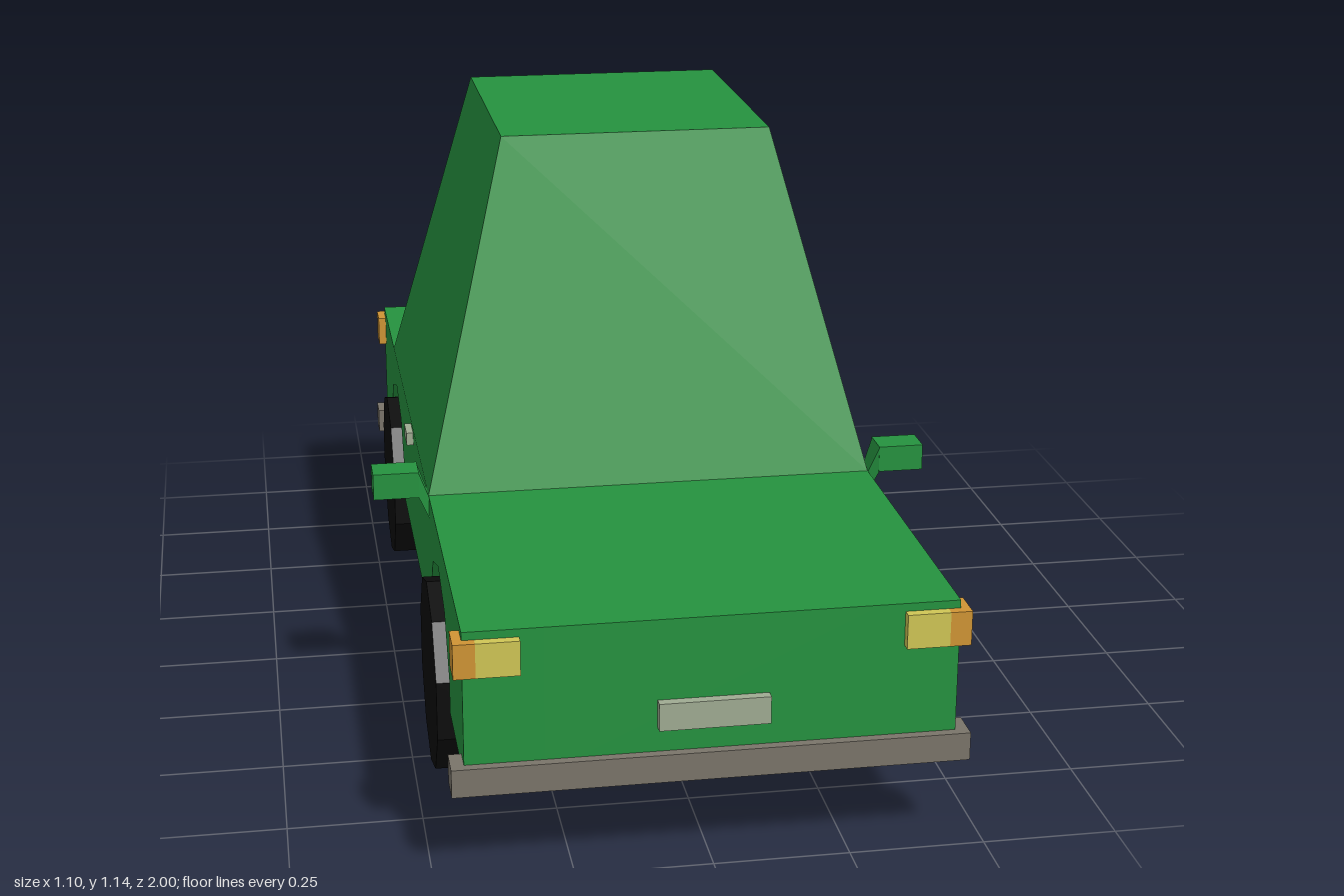
import * as THREE from 'three';
import { ConvexGeometry } from 'three/addons/geometries/ConvexGeometry.js';

export function createModel() {
  const car = new THREE.Group();
  car.name = 'car';

  const mat = (name, color) => {
    const m = new THREE.MeshStandardMaterial({ color });
    m.name = name;
    return m;
  };
  const green = mat('green paint', 0x25923f);
  const black = mat('black rubber', 0x0c0c0c);
  const grey = mat('bumper grey', 0x7a746a);
  const silver = mat('pale silver', 0x9fab92);
  const yellow = mat('headlight yellow', 0xcfc655);
  const orange = mat('indicator orange', 0xcf9434);
  const red = mat('tail light red', 0xc03022);

  const add = (name, geometry, material) => {
    const mesh = new THREE.Mesh(geometry, material);
    mesh.name = name;
    car.add(mesh);
    return mesh;
  };
  // Box given by its limits on each axis
  const box = (name, material, [x0, x1], [y0, y1], [z0, z1]) => {
    const mesh = add(name, new THREE.BoxGeometry(Math.abs(x1 - x0), y1 - y0, Math.abs(z1 - z0)), material);
    mesh.position.set((x0 + x1) / 2, (y0 + y1) / 2, (z0 + z1) / 2);
    return mesh;
  };
  const hull = (name, material, points) =>
    add(name, new ConvexGeometry(points.map((p) => new THREE.Vector3(...p))), material);

  const bottom = 0.185, deck = 0.465, halfW = 0.442, halfL = 0.982;
  const archDepth = 0.142, archR = 0.21;
  const axles = [-0.585, 0.515];

  // Lower body: solid core plus two side slabs with wheel arches cut out
  const inner = halfW - archDepth;
  box('bodyCore', green, [-inner, inner], [bottom, deck], [-halfL, halfL]);

  const side = new THREE.Shape();
  side.moveTo(-halfL, bottom);
  for (const z of axles) {
    const foot = archR * Math.cos(Math.PI / 10);
    side.lineTo(z - foot, bottom);
    for (let deg = 162; deg >= 18; deg -= 36) {
      const a = THREE.MathUtils.degToRad(deg);
      side.lineTo(z + archR * Math.cos(a), bottom + archR * Math.sin(a));
    }
    side.lineTo(z + foot, bottom);
  }
  side.lineTo(halfL, bottom);
  side.lineTo(halfL, deck);
  side.lineTo(-halfL, deck);
  for (const [name, x] of [['bodySideLeft', halfW], ['bodySideRight', -inner]]) {
    const g = new THREE.ExtrudeGeometry(side, { depth: archDepth, bevelEnabled: false });
    g.rotateY(-Math.PI / 2);
    g.translate(x, 0, 0);
    add(name, g, green);
  }

  // Tapered cabin
  const cabin = [];
  for (const s of [-1, 1]) {
    for (const z of [-0.645, 0.322]) cabin.push([s * halfW, deck, z]);
    for (const z of [-0.458, 0.135]) cabin.push([s * 0.268, 1.135, z]);
  }
  hull('cabin', green, cabin);

  // Ten-sided wheels, resting on a flat
  const wheelR = 0.187, apothem = wheelR * Math.cos(Math.PI / 10);
  const wheelGeo = new THREE.CylinderGeometry(wheelR, wheelR, 0.156, 10).toNonIndexed();
  wheelGeo.rotateY(Math.PI / 2);
  wheelGeo.rotateZ(Math.PI / 2);
  wheelGeo.computeVertexNormals();

  for (const s of [-1, 1]) {
    const label = s > 0 ? 'Left' : 'Right';
    for (const z of axles) {
      const wheel = add((z > 0 ? 'frontWheel' : 'rearWheel') + label, wheelGeo, black);
      wheel.position.set(s * 0.387, apothem, z);
    }

    // Door handle
    box('doorHandle' + label, silver, [s * 0.44, s * 0.456], [0.43, 0.457], [-0.135, -0.072]);

    // Wing mirror: tapered stalk, housing and rear-facing glass
    const stalk = [];
    for (const y of [0.415, 0.46]) for (const z of [0.285, 0.325]) stalk.push([s * 0.44, y, z]);
    for (const y of [0.468, 0.52]) for (const z of [0.275, 0.338]) stalk.push([s * 0.462, y, z]);
    hull('mirrorStalk' + label, green, stalk);
    box('mirrorHousing' + label, green, [s * 0.461, s * 0.55], [0.468, 0.52], [0.275, 0.338]);
    box('mirrorGlass' + label, silver, [s * 0.47, s * 0.543], [0.475, 0.514], [0.272, 0.276]);

    // Lamps with indicators wrapping the corners
    for (const e of [-1, 1]) {
      const end = e > 0 ? 'front' : 'rear';
      box(end + 'Lamp' + label, e > 0 ? yellow : red,
        [s * 0.342, s * 0.42], [0.385, 0.45], [e * 0.975, e]);
      box(end + 'Indicator' + label, orange, [s * 0.42, s * 0.459], [0.385, 0.45], [e * 0.938, e]);
    }
  }

  // Bumpers and number plates
  for (const e of [-1, 1]) {
    const end = e > 0 ? 'front' : 'rear';
    box(end + 'Bumper', grey, [-0.466, 0.466], [0.16, 0.213], [e * 0.937, e]);
    box(end + 'Plate', silver, [-0.1, 0.1], [0.26, 0.312], [e * 0.975, e]);
  }
  return car;
}
